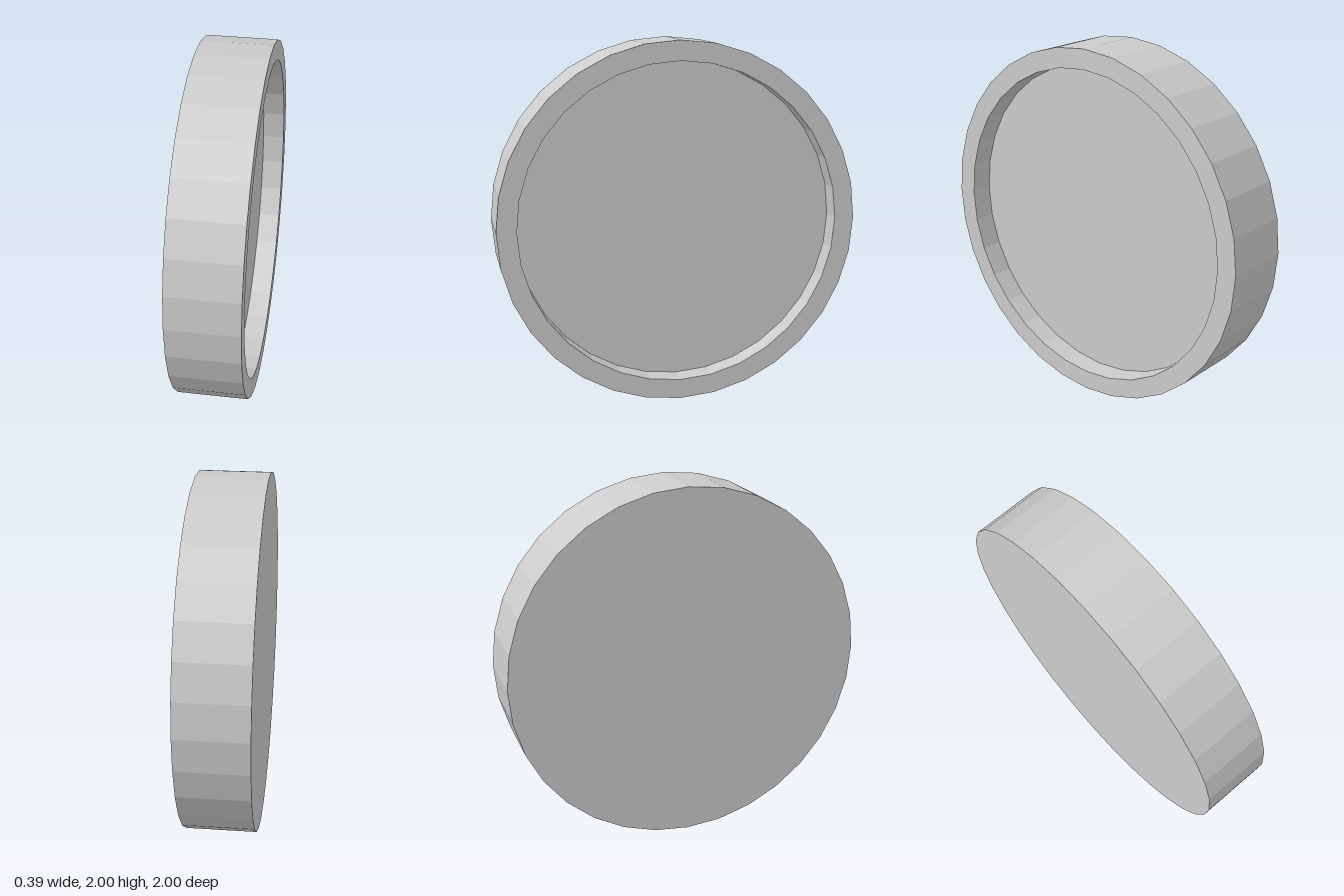
import * as THREE from 'three';

const SIDES = 32;
const RADIUS = 1;
const INNER_RADIUS = 0.89;
const HALF_WIDTH = 0.195;
const RECESS_DEPTH = 0.125;

export function createModel() {
  const group = new THREE.Group();
  group.name = 'recessedDisc';

  const material = new THREE.MeshStandardMaterial({ color: 0xcccccc, flatShading: true });

  // Half section from the closed back, over the rim, into the recess floor
  const floor = HALF_WIDTH - RECESS_DEPTH;
  const profile = [
    [0, -HALF_WIDTH],
    [RADIUS, -HALF_WIDTH],
    [RADIUS, HALF_WIDTH],
    [INNER_RADIUS, HALF_WIDTH],
    [INNER_RADIUS, floor],
    [0, floor],
  ].map(([r, h]) => new THREE.Vector2(r, h));

  // Disc standing on its edge, with the recess facing +x
  const disc = new THREE.Mesh(new THREE.LatheGeometry(profile, SIDES), material);
  disc.name = 'disc';
  disc.rotation.z = -Math.PI / 2;
  disc.position.y = RADIUS;
  group.add(disc);

  return group;
}
